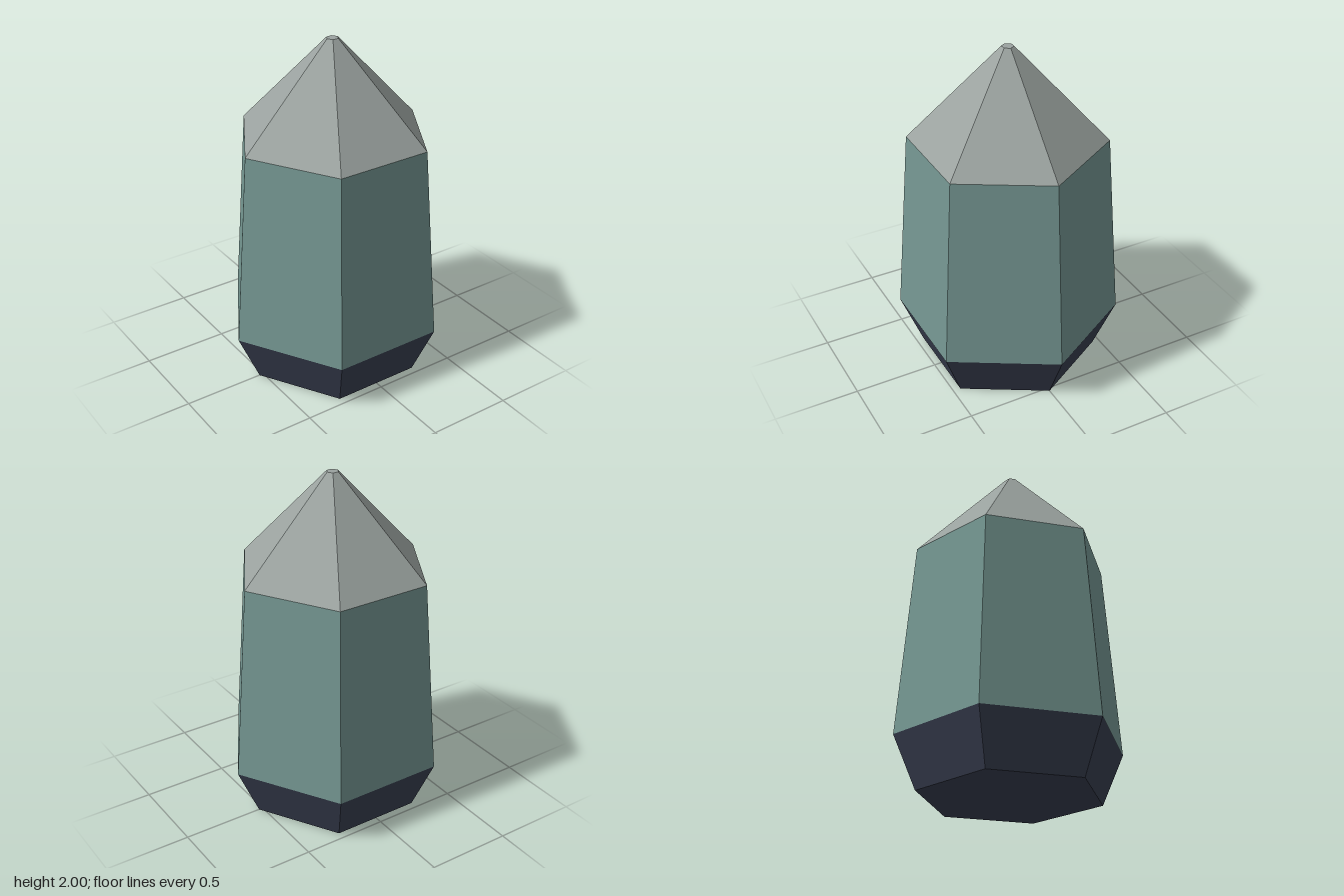
import * as THREE from 'three';

// One six-sided crystal section between two heights, corners on the x axis
function section(name, rBottom, rTop, y0, y1, color, openEnded) {
  const geo = new THREE.CylinderGeometry(rTop, rBottom, y1 - y0, 6, 1, openEnded, Math.PI / 6);
  geo.translate(0, (y0 + y1) / 2, 0);
  const mesh = new THREE.Mesh(geo, new THREE.MeshStandardMaterial({ color, flatShading: true }));
  mesh.name = name;
  return mesh;
}

export function createModel() {
  const group = new THREE.Group();
  group.name = 'crystal';
  group.add(
    // Dark foot widening upwards
    section('base', 0.525, 0.655, 0, 0.3, 0x3a4052, false),
    // Tall body, slightly tapered
    section('body', 0.655, 0.565, 0.3, 1.44, 0x759792, true),
    // Pale point with a tiny flat top
    section('tip', 0.565, 0.035, 1.44, 2, 0x9ba3a0, false),
  );
  return group;
}
